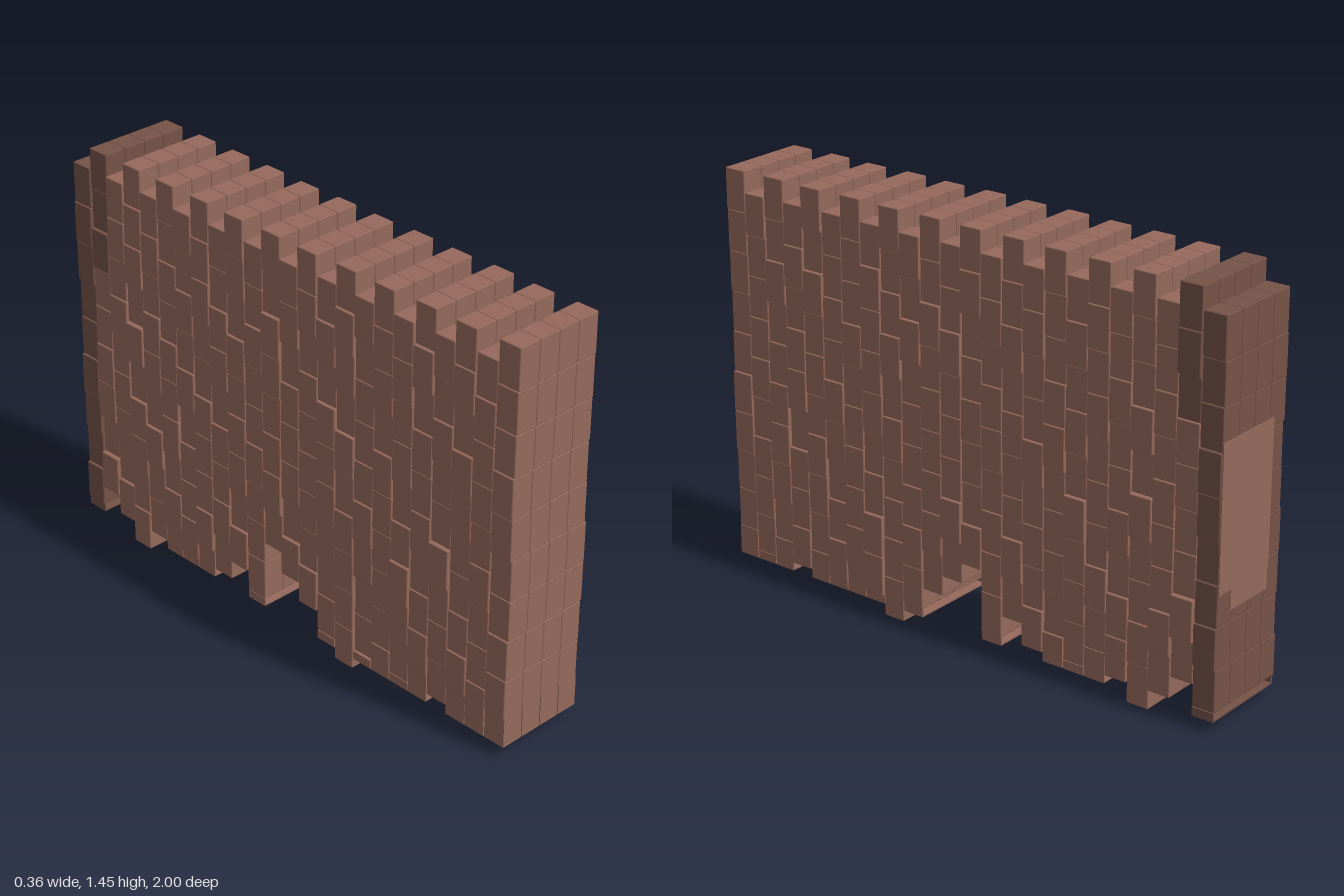
import * as THREE from 'three';
import { RoundedBoxGeometry } from 'three/addons/geometries/RoundedBoxGeometry.js';

const COLUMNS = 24;
const DEPTH = 1.997 / COLUMNS;   // brick size along z
const HEIGHT = 0.1445;           // brick size along y
const WIDTH = 0.0838;            // brick size along x, four per course
const STUB_Y = 0.04;

function seeded(seed) {
  let s = seed;
  return () => (s = (s * 16807) % 2147483647) / 2147483647;
}

export function createModel() {
  const wall = new THREE.Group();
  wall.name = 'brickWall';
  const rand = seeded(4711);

  const brickMat = new THREE.MeshStandardMaterial({ color: 0x95695b });
  const darkMat = new THREE.MeshStandardMaterial({ color: 0x765348 });
  const brickGeo = new RoundedBoxGeometry(WIDTH, HEIGHT, DEPTH, 1, 0.004);

  function slab(parent, name, size, pos, mat = brickMat) {
    const mesh = new THREE.Mesh(new THREE.BoxGeometry(...size), mat);
    mesh.name = name;
    mesh.position.set(...pos);
    parent.add(mesh);
  }

  // ragged lower edge: number of whole courses, and columns ending in a thin shell
  const courses = { 8: 10, 20: 10, 11: 8, 12: 8 };
  const shells = [0, 1, 2, 4, 5, 6, 7, 9, 13, 16, 17, 18, 23];

  for (let c = 0; c < COLUMNS; c++) {
    const column = new THREE.Group();
    column.name = `brickColumn${c + 1}`;
    wall.add(column);
    const top = c % 2 ? 1.371 : 1.445;
    const z = 1 - (c + 0.5) * DEPTH;
    const rows = courses[c] ?? 9;

    // courses of four bricks, each shifted slightly sideways
    for (let r = 0; r < rows; r++) {
      const big = rand() < 0.12;
      const shift = (rand() - 0.5) * (big ? 0.024 : 0.01);
      const dark = c === 23 || (c === 22 && r < 3);
      for (let i = 0; i < 4; i++) {
        const brick = new THREE.Mesh(brickGeo, dark ? darkMat : brickMat);
        brick.name = 'brick';
        brick.position.set((i - 1.5) * WIDTH + shift, top - (r + 0.5) * HEIGHT, z);
        column.add(brick);
      }
    }

    // thin remains of the broken bottom course
    if (shells.includes(c)) {
      const h = top - rows * HEIGHT - STUB_Y;
      const d = DEPTH - 0.004;
      const mat = c === 23 ? darkMat : brickMat;
      for (const side of [-1, 1])
        slab(column, 'brokenSide', [0.006, h, d], [side * 0.163, STUB_Y + h / 2, z], mat);
      slab(column, 'brokenBase', [0.32, 0.005, d], [0, STUB_Y + 0.0025, z], mat);
    }
  }

  // remains of the lowest front course
  for (let i = 0; i < 4; i++)
    slab(wall, 'brokenFront', [WIDTH - 0.004, 0.105, 0.006], [(i - 1.5) * WIDTH, 0.0925, 0.997]);

  // bare patch on the back end
  slab(wall, 'barePatch', [0.27, 0.5, 0.006], [0.03, 0.72, -0.997]);
  slab(wall, 'barePatchLower', [0.2, 0.07, 0.006], [0, 0.435, -0.997]);

  return wall;
}
